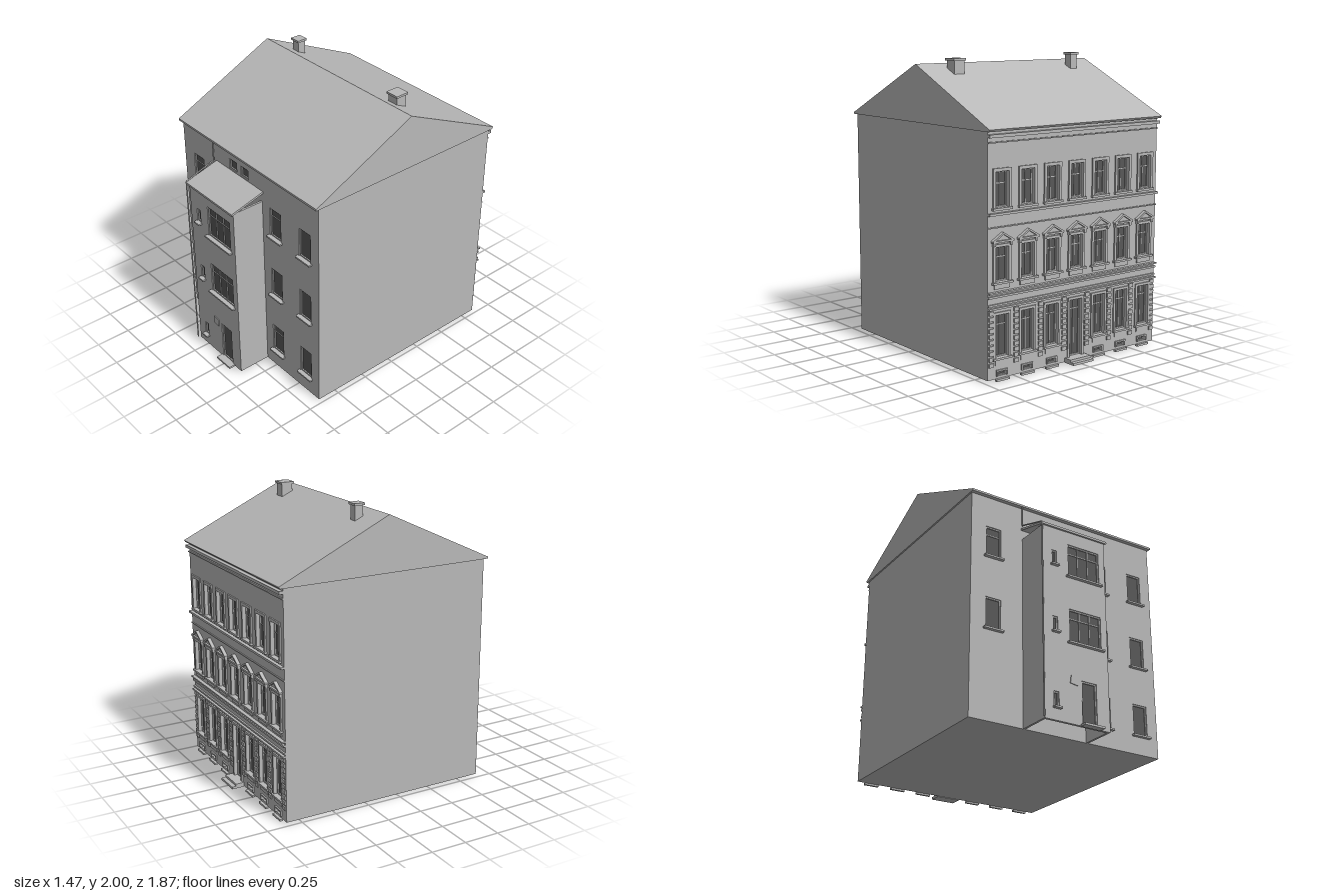
import * as THREE from 'three';

const wallMat = new THREE.MeshStandardMaterial({ color: 0xb8b8b8 });
wallMat.name = 'plaster';
const glassMat = new THREE.MeshStandardMaterial({ color: 0x585858 });
glassMat.name = 'darkGlass';

// Box given by its min and max corners
function box(parent, name, x0, x1, y0, y1, z0, z1, mat = wallMat) {
  const m = new THREE.Mesh(new THREE.BoxGeometry(x1 - x0, y1 - y0, z1 - z0), mat);
  m.position.set((x0 + x1) / 2, (y0 + y1) / 2, (z0 + z1) / 2);
  m.name = name;
  parent.add(m);
  return m;
}

function polygon(points) {
  return new THREE.Shape(points.map(p => new THREE.Vector2(p[0], p[1])));
}

// Wall slab with its outer face on z = 0 and one hole per opening
function facade(name, x0, x1, y0, y1, thick, openings) {
  const g = new THREE.Group();
  g.name = name;
  const shape = polygon([[x0, y0], [x1, y0], [x1, y1], [x0, y1]]);
  for (const o of openings) {
    shape.holes.push(polygon([[o.x0, o.y0], [o.x0, o.y1], [o.x1, o.y1], [o.x1, o.y0]]));
  }
  const geo = new THREE.ExtrudeGeometry(shape, { depth: thick, bevelEnabled: false });
  geo.translate(0, 0, -thick);
  const wall = new THREE.Mesh(geo, wallMat);
  wall.name = 'wall';
  g.add(wall);
  for (const o of openings) fillOpening(g, o, thick);
  return g;
}

// Glass, frame, glazing bars and sill of one opening
function fillOpening(g, o, thick) {
  const { x0, x1, y0, y1, f = 0.009, posts = [], rails = [] } = o;
  const zb = -thick + 0.006, zf = zb + 0.008;
  box(g, 'glass', x0, x1, y0, y1, -thick + 0.001, zb, glassMat);
  box(g, 'frame', x0, x0 + f, y0, y1, zb, zf);
  box(g, 'frame', x1 - f, x1, y0, y1, zb, zf);
  box(g, 'frame', x0 + f, x1 - f, y1 - f, y1, zb, zf);
  box(g, 'frame', x0 + f, x1 - f, y0, y0 + f, zb, zf);
  for (const x of posts) box(g, 'glazingBar', x - 0.003, x + 0.003, y0 + f, y1 - f, zb, zf - 0.002);
  for (const y of rails) box(g, 'glazingBar', x0 + f, x1 - f, y - 0.003, y + 0.003, zb, zf - 0.003);
  if (o.sill) box(g, 'sill', x0 - o.sill, x1 + o.sill, y0 - 0.012, y0, -0.005, 0.025);
}

// Raised border around an opening
function surround(g, o, w, d) {
  box(g, 'surround', o.x0 - w, o.x0, o.y0, o.y1, 0, d);
  box(g, 'surround', o.x1, o.x1 + w, o.y0, o.y1, 0, d);
  box(g, 'surround', o.x0 - w, o.x1 + w, o.y1, o.y1 + w, 0, d);
}

function buildYardSide(root) {
  // Main wall windows
  const list = [];
  const add = (x0, x1, y0, y1, rail) =>
    list.push({ x0, x1, y0, y1, sill: 0.014, rails: rail ? [y1 - 0.06] : [] });
  add(-0.615, -0.5, 1.14, 1.355, true);
  add(-0.615, -0.5, 0.63, 0.845, false);
  [1.115, 0.63, 0.145].forEach((y, i) => {
    add(0.23, 0.343, y, y + 0.215, i !== 1);
    add(0.53, 0.643, y, y + 0.215, false);
  });
  for (const x of [-0.195, -0.07]) list.push({ x0: x, x1: x + 0.08, y0: 1.43, y1: 1.505 });
  const main = facade('yardWall', -0.725, 0.725, 0.012, 1.575, 0.02, list);
  main.position.z = 0.65;
  root.add(main);

  // Stair tower: front wall, side walls, open below
  const tower = [{ x0: -0.055, x1: 0.057, y0: 0.022, y1: 0.31 }];
  for (const y of [1.02, 0.555]) {
    tower.push({ x0: -0.14, x1: 0.107, y0: y, y1: y + 0.23, sill: 0.015, posts: [-0.056, 0.023], rails: [y + 0.165] });
  }
  for (const y of [1.075, 0.605, 0.1]) {
    tower.push({ x0: -0.265, x1: -0.227, y0: y, y1: y + 0.1, sill: 0.009 });
  }
  const front = facade('stairTowerFront', -0.335, 0.155, 0.012, 1.34, 0.02, tower);
  front.position.z = 0.885;
  root.add(front);
  box(root, 'stairTowerSide', -0.335, -0.32, 0.012, 1.34, 0.65, 0.865);
  box(root, 'stairTowerSide', 0.14, 0.155, 0.012, 1.34, 0.65, 0.865);
  box(root, 'yardDoorStep', -0.07, 0.08, 0.008, 0.022, 0.885, 0.932);
  const plaque = box(root, 'wallPlaque', -0.14, -0.083, 0.272, 0.327, 0.885, 0.891);
  plaque.rotation.z = -0.15;

  // Lean-to roof over the tower
  const lean = new THREE.ExtrudeGeometry(
    polygon([[0.65, 1.405], [0.905, 1.335], [0.905, 1.35], [0.65, 1.42]]), { depth: 0.51, bevelEnabled: false });
  lean.rotateY(-Math.PI / 2);
  const leanRoof = new THREE.Mesh(lean, wallMat);
  leanRoof.name = 'leanToRoof';
  leanRoof.position.x = 0.165;
  root.add(leanRoof);

  // Downpipe
  const path = [[1.58, 0.672], [1.43, 0.672], [1.352, 0.9], [0.015, 0.9]]
    .map(p => new THREE.Vector3(-0.347, p[0], p[1]));
  for (let i = 0; i < 3; i++) {
    const dir = path[i].clone().sub(path[i + 1]);
    const pipe = new THREE.Mesh(new THREE.CylinderGeometry(0.005, 0.005, dir.length(), 8), wallMat);
    pipe.position.copy(path[i]).add(path[i + 1]).multiplyScalar(0.5);
    pipe.quaternion.setFromUnitVectors(new THREE.Vector3(0, 1, 0), dir.normalize());
    pipe.name = 'downpipe';
    root.add(pipe);
  }
}

function buildStreetSide(root) {
  const cols = [-3, -2, -1, 0, 1, 2, 3].map(i => i * 0.205);
  const top = [], mid = [], low = [], cellar = [];
  for (const x of cols) {
    const span = { x0: x - 0.052, x1: x + 0.052, posts: [x] };
    top.push({ ...span, y0: 1.1, y1: 1.325, rails: [1.25] });
    mid.push({ ...span, y0: 0.635, y1: 0.855, rails: [0.79] });
    const door = x === 0;
    low.push({ ...span, y0: door ? 0.04 : 0.15, y1: 0.425, rails: [0.36] });
    if (!door) cellar.push({ x0: x - 0.035, x1: x + 0.035, y0: 0.03, y1: 0.06, f: 0.004 });
  }
  const g = facade('streetWall', -0.725, 0.725, 0.012, 1.575, 0.03, [...top, ...mid, ...low, ...cellar]);
  g.position.z = -0.85;
  g.rotation.y = Math.PI;
  root.add(g);

  // Top storey: flat surrounds with sills
  for (const o of top) {
    surround(g, o, 0.02, 0.01);
    box(g, 'sill', o.x0 - 0.025, o.x1 + 0.025, 1.085, 1.1, 0, 0.018);
  }
  // Middle storey: surrounds, aprons and pediments
  for (const o of mid) {
    const x = (o.x0 + o.x1) / 2;
    surround(g, o, 0.018, 0.01);
    box(g, 'sill', x - 0.08, x + 0.08, 0.622, 0.635, 0, 0.022);
    box(g, 'apron', x - 0.06, x + 0.06, 0.59, 0.622, 0, 0.007);
    box(g, 'pedimentBase', x - 0.082, x + 0.082, 0.885, 0.897, 0, 0.024);
    for (const s of [-1, 1]) {
      box(g, 'bracket', x + s * 0.066 - 0.008, x + s * 0.066 + 0.008, 0.862, 0.885, 0, 0.018);
    }
    const field = new THREE.Mesh(new THREE.ExtrudeGeometry(
      polygon([[-0.08, 0.897], [0.08, 0.897], [0, 0.94]]), { depth: 0.01, bevelEnabled: false }), wallMat);
    field.name = 'pedimentField';
    field.position.x = x;
    const rake = new THREE.Mesh(new THREE.ExtrudeGeometry(
      polygon([[-0.085, 0.897], [-0.062, 0.897], [0, 0.934], [0.062, 0.897], [0.085, 0.897], [0, 0.947]]),
      { depth: 0.024, bevelEnabled: false }), wallMat);
    rake.name = 'pedimentMoulding';
    rake.position.x = x;
    g.add(field, rake);
  }
  // Ground storey: surrounds, sills and block pilasters
  for (const o of low) {
    surround(g, o, 0.017, 0.009);
    if (o.y0 > 0.1) {
      box(g, 'sill', o.x0 - 0.022, o.x1 + 0.022, 0.137, 0.15, 0, 0.02);
      box(g, 'apron', o.x0, o.x1, 0.1, 0.137, 0, 0.006);
    }
  }
  for (let i = 0; i < 8; i++) {
    const x = (i - 3.5) * 0.2;
    for (let y = 0.095; y < 0.44; y += 0.037) {
      box(g, 'pilasterBlock', x - 0.018, x + 0.018, y, y + 0.026, 0, 0.009);
    }
  }
  // Cellar window frames and ledges
  for (const o of cellar) {
    surround(g, o, 0.01, 0.01);
    box(g, 'cellarLedge', o.x0 - 0.018, o.x1 + 0.018, 0, 0.014, 0, 0.02);
  }
  // String courses and cornice: bottom, top, projection
  for (const [y0, y1, d] of [[1.055, 1.07, 0.024], [0.975, 0.983, 0.008], [0.565, 0.575, 0.026],
    [0.537, 0.55, 0.016], [0.485, 0.497, 0.012], [0.463, 0.475, 0.02], [1.535, 1.555, 0.028], [1.5, 1.508, 0.01]]) {
    box(g, 'stringCourse', -0.725, 0.725, y0, y1, 0, d);
  }
  // Entrance steps
  box(g, 'lowerStep', -0.088, 0.088, 0.008, 0.024, 0, 0.09);
  box(g, 'upperStep', -0.088, 0.088, 0.024, 0.04, 0, 0.06);
}

function buildRoof(root) {
  const geo = new THREE.ExtrudeGeometry(polygon([[0.665, 1.572], [0.675, 1.586], [-0.1, 1.95], [-0.885, 1.586], [-0.875, 1.572]]),
    { depth: 1.47, bevelEnabled: false });
  geo.rotateY(-Math.PI / 2);
  const roof = new THREE.Mesh(geo, wallMat);
  roof.name = 'gableRoof';
  roof.position.x = 0.735;
  root.add(roof);
  box(root, 'frontGutter', -0.735, 0.735, 1.572, 1.586, 0.655, 0.678);
  // Chimneys: centre x, centre z, half width, top
  for (const [x, z, r, y] of [[-0.511, -0.208, 0.029, 2.0], [0.49, -0.206, 0.04, 1.985]]) {
    box(root, 'chimney', x - r, x + r, 1.82, y - 0.014, z - r, z + r);
    const c = r + 0.009;
    box(root, 'chimneyCap', x - c, x + c, y - 0.015, y, z - c, z + c);
  }
}

export function createModel() {
  const root = new THREE.Group();
  root.name = 'apartmentHouse';
  box(root, 'houseBody', -0.725, 0.725, 0.012, 1.575, -0.82, 0.63);
  buildYardSide(root);
  buildStreetSide(root);
  buildRoof(root);
  return root;
}
